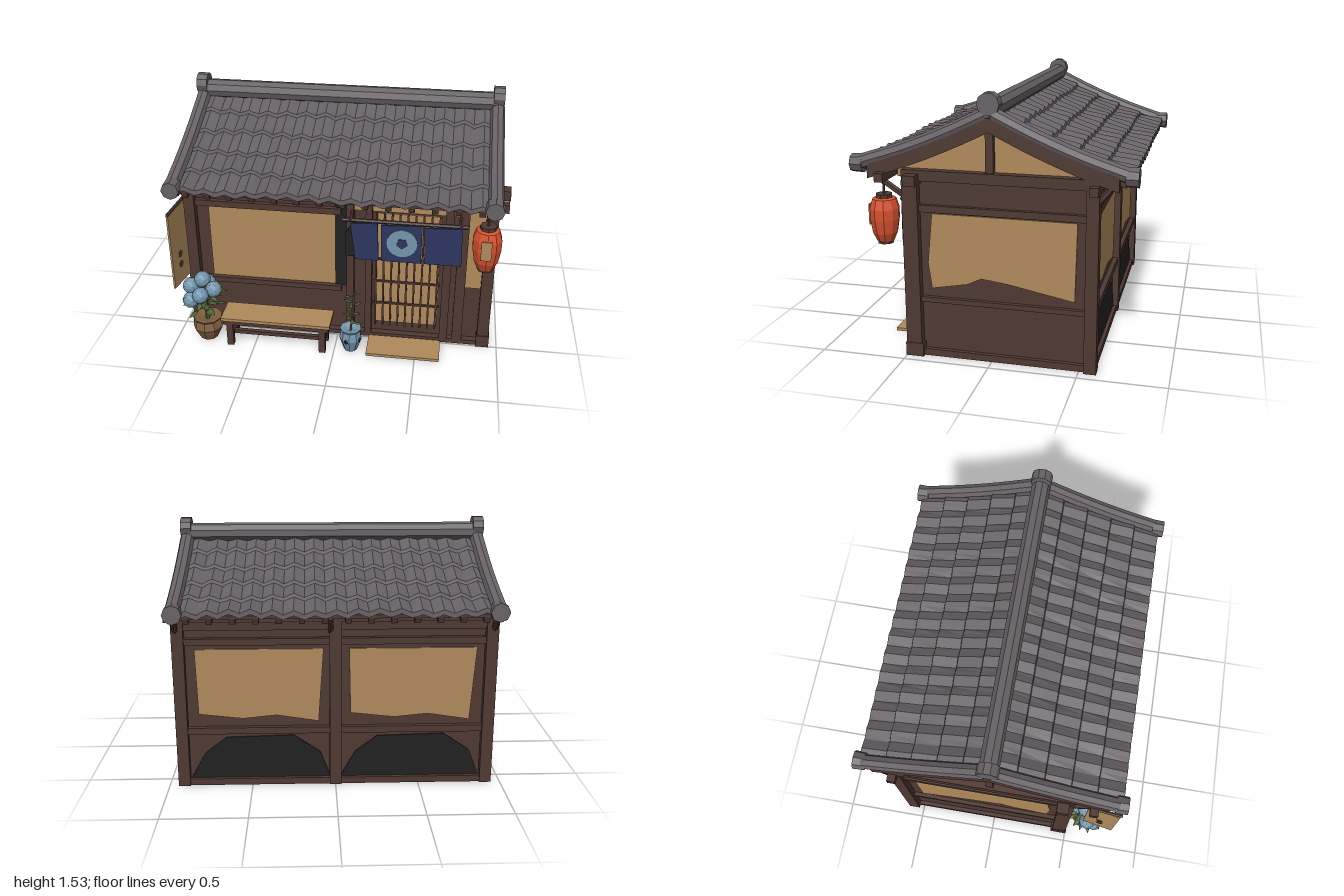
import * as THREE from 'three';

const mat = (name, color) => Object.assign(new THREE.MeshStandardMaterial({ color, flatShading: true }), { name });
const M = {
  roof: mat('slate roof', 0x686266), wood: mat('dark timber', 0x4f3932), tan: mat('plaster and paper', 0xb08a5c),
  black: mat('soot black', 0x222121), navy: mat('navy cloth', 0x2c3660), red: mat('lantern red', 0xd8512f),
  blue: mat('pale blue', 0x7496ad), green: mat('leaf green', 0x46602f), clay: mat('clay', 0x806040),
};

export function createModel() {
  const root = new THREE.Group();
  root.name = 'shop';
  let seed = 7;
  const rnd = () => (seed = (seed * 16807) % 2147483647) / 2147483647;
  const add = (name, geo, m, x = 0, y = 0, z = 0, parent = root) => {
    const mesh = new THREE.Mesh(geo, m);
    mesh.name = name;
    mesh.position.set(x, y, z);
    parent.add(mesh);
    return mesh;
  };
  // Box given by its limits
  const box = (name, m, x0, x1, y0, y1, z0, z1, parent) =>
    add(name, new THREE.BoxGeometry(x1 - x0, y1 - y0, z1 - z0), m, (x0 + x1) / 2, (y0 + y1) / 2, (z0 + z1) / 2, parent);
  const extrude = (pts, depth) => new THREE.ExtrudeGeometry(
    new THREE.Shape(pts.map(([a, b]) => new THREE.Vector2(a, b))), { depth, bevelEnabled: false });
  // Thin plate on a side wall, points as [z, y]; s = +1 left, -1 right
  const sidePlate = (name, m, s, x, pts, depth = 0.008) =>
    add(name, extrude(pts.map(([z, y]) => [-s * z, y]), depth).rotateY(s * Math.PI / 2), m, s * x);
  const rod = (name, m, a, b, r, parent) => {
    const A = new THREE.Vector3(...a), B = new THREE.Vector3(...b), d = B.clone().sub(A);
    const mesh = add(name, new THREE.CylinderGeometry(r, r, d.length(), 6), m, 0, 0, 0, parent);
    mesh.position.copy(A.add(B).multiplyScalar(0.5));
    mesh.quaternion.setFromUnitVectors(new THREE.Vector3(0, 1, 0), d.normalize());
    return mesh;
  };

  // Walls, posts and beams
  box('walls', M.wood, -0.9, 0.9, 0.01, 1.06, -0.56, 0.45);
  for (const s of [-1, 1]) {
    box('frontPost', M.wood, s * 0.91 - 0.035, s * 0.91 + 0.035, 0, 1.04, 0.41, 0.5);
    box('backPost', M.wood, s * 0.91 - 0.035, s * 0.91 + 0.035, 0, 1.04, -0.6, -0.53);
    box('postFoot', M.wood, s * 0.91 - 0.04, s * 0.91 + 0.04, 0, 0.08, 0.4, 0.505);
    box('gableBeam', M.wood, s * 0.91 - 0.03, s * 0.91 + 0.03, 1.04, 1.1, -0.6, 0.5);
    box('sideSill', M.wood, s * 0.905 - 0.02, s * 0.905 + 0.02, 0.33, 0.36, -0.53, 0.41);
    box('sideLintel', M.wood, s * 0.905 - 0.02, s * 0.905 + 0.02, 0.86, 0.9, -0.53, 0.41);
    box('sideBase', M.wood, s * 0.905 - 0.02, s * 0.905 + 0.02, 0, 0.04, -0.53, 0.41);
    sidePlate('sideWindow', M.tan, s, 0.9, [[0.34, 0.85], [-0.48, 0.85], [-0.47, 0.4], [-0.1, 0.47],
      [0.06, 0.49], [0.14, 0.45], [0.35, 0.41], [0.37, 0.56]]);
    box('gableStrut', M.wood, s * 0.905 - 0.02, s * 0.905 + 0.02, 1.08, 1.36, -0.022, 0.022);
    // Back bays
    add('backWindow', extrude([[-0.38, 0.85], [0.37, 0.85], [0.36, 0.45], [0.1, 0.42], [-0.1, 0.44], [-0.35, 0.4]], 0.008),
      M.tan, s * 0.45, 0, -0.568);
    add('backDarkPanel', extrude([[-0.42, 0.04], [0.42, 0.04], [0.33, 0.2], [0.2, 0.3], [-0.2, 0.31], [-0.36, 0.2]], 0.008),
      M.black, s * 0.45, 0, -0.568);
  }
  box('backMiddlePost', M.wood, -0.035, 0.035, 0, 1.04, -0.6, -0.54);
  for (const [a, b] of [[0, 0.04], [0.33, 0.37], [0.88, 0.92], [0.97, 1.05]]) box('backRail', M.wood, -0.9, 0.9, a, b, -0.59, -0.55);
  box('frontPlate', M.wood, -1, 1, 1.02, 1.08, 0.4, 0.47);
  box('frontHead', M.wood, -0.9, 0.9, 0.98, 1.04, 0.44, 0.49);
  box('backPlate', M.wood, -0.985, 0.985, 1.02, 1.07, -0.6, -0.55);
  box('eavePurlin', M.wood, -0.985, 0.985, 1.03, 1.08, 0.59, 0.64);
  for (const x of [-0.92, 0.03, 0.92]) {
    rod('bracket', M.wood, [x, 0.94, 0.48], [x, 1.04, 0.63], 0.018);
    rod('backBracket', M.wood, [x, 0.96, -0.58], [x, 1.06, -0.66], 0.018);
  }

  // Front wall details
  box('frontWindow', M.tan, -0.8, -0.02, 0.36, 0.86, 0.45, 0.458);
  box('windowSill', M.wood, -0.88, 0.02, 0.32, 0.355, 0.44, 0.48);
  box('windowHead', M.wood, -0.88, 0.02, 0.86, 0.9, 0.44, 0.48);
  box('headShade', M.black, -0.88, -0.6, 0.93, 0.98, 0.45, 0.458);
  box('postShade', M.black, -0.02, 0.055, 0.35, 0.94, 0.45, 0.458);
  box('frontBase', M.wood, -0.88, 0.88, 0, 0.03, 0.44, 0.49);
  box('transom', M.tan, 0.1, 0.73, 0.89, 0.95, 0.45, 0.458);
  box('narrowPanel', M.tan, 0.78, 0.88, 0.4, 0.97, 0.45, 0.458);
  for (const [a, b] of [[0.055, 0.1], [0.17, 0.21], [0.64, 0.69], [0.72, 0.78]]) box('doorPost', M.wood, a, b, 0.02, 1, 0.44, 0.49);
  box('doorPaper', M.tan, 0.23, 0.62, 0.1, 0.88, 0.45, 0.458);
  for (let i = 0; i < 9; i++) box('latticeBar', M.wood, 0.228 + i * 0.047, 0.239 + i * 0.047, 0.08, 0.88, 0.455, 0.47);
  for (const y of [0.24, 0.4, 0.56]) box('latticeRail', M.wood, 0.22, 0.63, y, y + 0.012, 0.455, 0.468);
  box('doorMat', M.tan, 0.2, 0.65, 0, 0.018, 0.5, 0.69);

  // Roof: concave slopes with stepped, wavy tile rows
  const roofY = z => { const a = Math.abs(z) / 0.78; return 1.43 - 0.4 * a + 0.09 * a * a; };
  const rows = 5, cols = 15;
  for (const s of [-1, 1]) {
    const geo = new THREE.BoxGeometry(1.78, 1, 1, cols * 4, 1, rows * 2), p = geo.attributes.position;
    for (let i = 0; i < p.count; i++) {
      const x = p.getX(i), f = p.getZ(i) * s + 0.5, k = Math.round(f * rows * 2);
      const t = k % 2 ? (k + 1) / 2 / rows - 0.006 : k / 2 / rows;
      const z = 0.77 * t * s, top = p.getY(i) > 0;
      const u = x / 1.78 * cols, col = Math.floor(u + 0.5), row = Math.floor((k - 0.5) / 2);
      const wave = 0.012 * Math.cos(u * Math.PI * 2) + 0.006 * Math.sin(col * 5.3 + row * 3.1);
      const y = roofY(z) - 0.012 + wave + (k % 2 || k === rows * 2 ? 0.014 : -0.004);
      p.setXYZ(i, x, top ? y : y - 0.03, z);
    }
    add('tileSlope', geo, M.roof);
  }
  // Band following the roof slope, as a cross-section along x
  const band = (name, m, z, top, under, x0, x1) => {
    const pts = [], n = 8;
    for (let i = -n; i <= n; i++) pts.push([i / n * z, roofY(i / n * z) - top]);
    for (let i = n; i >= -n; i--) pts.push([i / n * z, roofY(i / n * z) - under]);
    add(name, extrude(pts, x1 - x0).rotateY(Math.PI / 2), m, x0);
  };
  band('roofBoards', M.wood, 0.74, 0.035, 0.055, -0.88, 0.88);
  band('leftBargeboard', M.wood, 0.7, 0.025, 0.105, 0.885, 0.94);
  band('rightBargeboard', M.wood, 0.7, 0.025, 0.105, -0.94, -0.885);
  add('gableFill', extrude([[-0.54, 1.05], [0.54, 1.05], [0.54, 1.14], [0.3, 1.22], [0, 1.37], [-0.3, 1.22], [-0.54, 1.14]], 1.78)
    .rotateY(Math.PI / 2), M.tan, -0.89);
  for (const s of [-1, 1]) {
    for (let i = 0; i < 14; i++) {
      const r = add('rafter', new THREE.BoxGeometry(0.035, 0.035, 0.26), M.wood, -0.84 + i * 0.129, roofY(0.61) - 0.07, s * 0.61);
      r.rotation.x = s * 0.33;
    }
    // Verge rolls, end caps and ridge ends
    for (const e of [-1, 1]) {
      const pts = [0.02, 0.25, 0.5, 0.76].map(z => new THREE.Vector3(s * 0.905, roofY(z) - 0.005, e * z));
      add('vergeRoll', new THREE.TubeGeometry(new THREE.CatmullRomCurve3(pts), 9, 0.043, 8), M.roof);
      add('vergeCap', new THREE.CylinderGeometry(0.052, 0.055, 0.07, 8).rotateX(Math.PI / 2), M.roof, s * 0.9, 1.117, e * 0.765);
    }
    add('ridgeEnd', new THREE.CylinderGeometry(0.063, 0.063, 0.065, 10).rotateZ(Math.PI / 2), M.roof, s * 0.91, 1.475, 0);
  }
  add('ridgeRoll', new THREE.CylinderGeometry(0.058, 0.058, 1.8, 9, 6).rotateZ(Math.PI / 2), M.roof, 0, 1.443, 0);

  // Door curtain
  rod('curtainRod', M.wood, [0.04, 0.885, 0.57], [0.77, 0.885, 0.57], 0.012);
  for (const x of [0.09, 0.73]) rod('rodHolder', M.wood, [x, 0.9, 0.47], [x, 0.885, 0.58], 0.01);
  const cloths = [[0.09, 0.25, 0.12, 0.26], [0.27, 0.51, 0.275, 0.51], [0.52, 0.74, 0.53, 0.745]];
  for (const [a, b, c, d] of cloths)
    add('curtainPanel', extrude([[c, 0.63], [d, 0.63], [b, 0.88], [a, 0.87]], 0.012), M.navy, 0, 0, 0.575);
  add('curtainFold', extrude([[0.06, 0.64], [0.15, 0.64], [0.1, 0.86], [0.06, 0.8]], 0.008), M.black, 0, 0, 0.565);
  add('curtainDisc', new THREE.CylinderGeometry(0.09, 0.09, 0.006, 20).rotateX(Math.PI / 2), M.blue, 0.395, 0.76, 0.59);
  add('curtainDiscCentre', new THREE.CylinderGeometry(0.035, 0.035, 0.006, 5).rotateX(Math.PI / 2), M.navy, 0.395, 0.76, 0.594);

  // Lantern
  const lantern = new THREE.Group();
  lantern.name = 'lantern';
  lantern.position.set(0.88, 0.8, 0.63);
  root.add(lantern);
  const prof = [[0, -0.135], [0.05, -0.13], [0.072, -0.08], [0.085, 0], [0.085, 0.06], [0.068, 0.115], [0, 0.13]];
  add('lanternBody', new THREE.LatheGeometry(prof.map(q => new THREE.Vector2(...q)), 10), M.red, 0, 0, 0, lantern);
  for (const y of [-0.135, 0.132]) add('lanternCap', new THREE.CylinderGeometry(0.048, 0.048, 0.02, 8), M.wood, 0, y, 0, lantern);
  box('lanternPatch', M.tan, -0.035, 0.025, -0.04, 0.08, 0.08, 0.087, lantern);
  rod('lanternHook', M.wood, [0, 0.13, 0], [0, 0.25, 0], 0.008, lantern);

  // Hanging banner
  rod('bannerPole', M.wood, [-0.91, 0.955, 0.48], [-0.935, 0.955, 0.79], 0.01);
  const banner = add('banner', new THREE.BoxGeometry(0.012, 0.5, 0.19), M.tan, -0.925, 0.7, 0.685);
  banner.rotation.y = -0.18;
  for (const y of [-0.06, -0.13]) add('bannerSpot', new THREE.CylinderGeometry(0.022, 0.022, 0.016, 7).rotateZ(Math.PI / 2), M.wood, 0, y, 0, banner);

  // Bench
  box('benchSeat', M.tan, -0.7, -0.02, 0.185, 0.205, 0.53, 0.71);
  box('benchApron', M.wood, -0.69, -0.03, 0.155, 0.185, 0.54, 0.7);
  for (const x of [-0.65, -0.07]) {
    for (const z of [0.56, 0.68]) box('benchLeg', M.wood, x - 0.02, x + 0.02, 0, 0.16, z - 0.018, z + 0.018);
    box('benchTie', M.wood, x - 0.012, x + 0.012, 0.04, 0.07, 0.56, 0.68);
  }
  box('benchStretcher', M.wood, -0.65, -0.07, 0.045, 0.07, 0.61, 0.635);

  // Potted plants
  const pot = (name, m, x, z, r, h) => {
    const pts = [[0, 0], [r * 0.6, 0], [r, h * 0.55], [r * 0.85, h * 0.9], [r * 0.95, h], [r * 0.75, h], [0, h * 0.85]];
    add(name, new THREE.LatheGeometry(pts.map(q => new THREE.Vector2(...q)), 9), m, x, 0.005, z);
  };
  const leaf = (x, y, z, len, yaw, tilt) => {
    const l = add('leaf', new THREE.OctahedronGeometry(1).scale(len, len * 0.12, len * 0.42), M.green, x, y, z);
    l.rotation.set(0, yaw, tilt, 'YXZ');
  };
  pot('bushPot', M.clay, -0.81, 0.62, 0.095, 0.15);
  for (let i = 0; i < 34; i++) {
    const a = i * 2.4, r = 0.04 + 0.07 * rnd();
    leaf(-0.82 + r * Math.cos(a), 0.2 + 0.18 * rnd(), 0.62 - r * Math.sin(a), 0.045, a, -0.5 + 0.6 * rnd());
  }
  rod('bushStem', M.green, [-0.81, 0.12, 0.62], [-0.82, 0.36, 0.62], 0.014);
  const blooms = [[-0.9, 0.37, 0.62], [-0.83, 0.41, 0.6], [-0.75, 0.37, 0.64], [-0.82, 0.35, 0.69], [-0.89, 0.3, 0.67], [-0.81, 0.36, 0.56]];
  for (const b of blooms) add('bloom', new THREE.IcosahedronGeometry(0.052, 1), M.blue, ...b);
  pot('saplingPot', M.blue, 0.1, 0.63, 0.07, 0.155);
  for (const a of [0.4, 1.9, 3.6]) add('potSpot', new THREE.OctahedronGeometry(0.02).scale(1, 1, 0.4), M.black,
    0.1 + 0.064 * Math.cos(a), 0.09, 0.63 + 0.064 * Math.sin(a)).rotation.y = Math.PI / 2 - a;
  rod('saplingStem', M.clay, [0.1, 0.13, 0.63], [0.12, 0.41, 0.62], 0.007);
  for (let i = 0; i < 14; i++) {
    const a = i * 2.4;
    leaf(0.11 + 0.032 * Math.cos(a), 0.19 + i * 0.017, 0.625 - 0.032 * Math.sin(a), 0.032, a, 0.4 * rnd());
  }

  return root;
}
